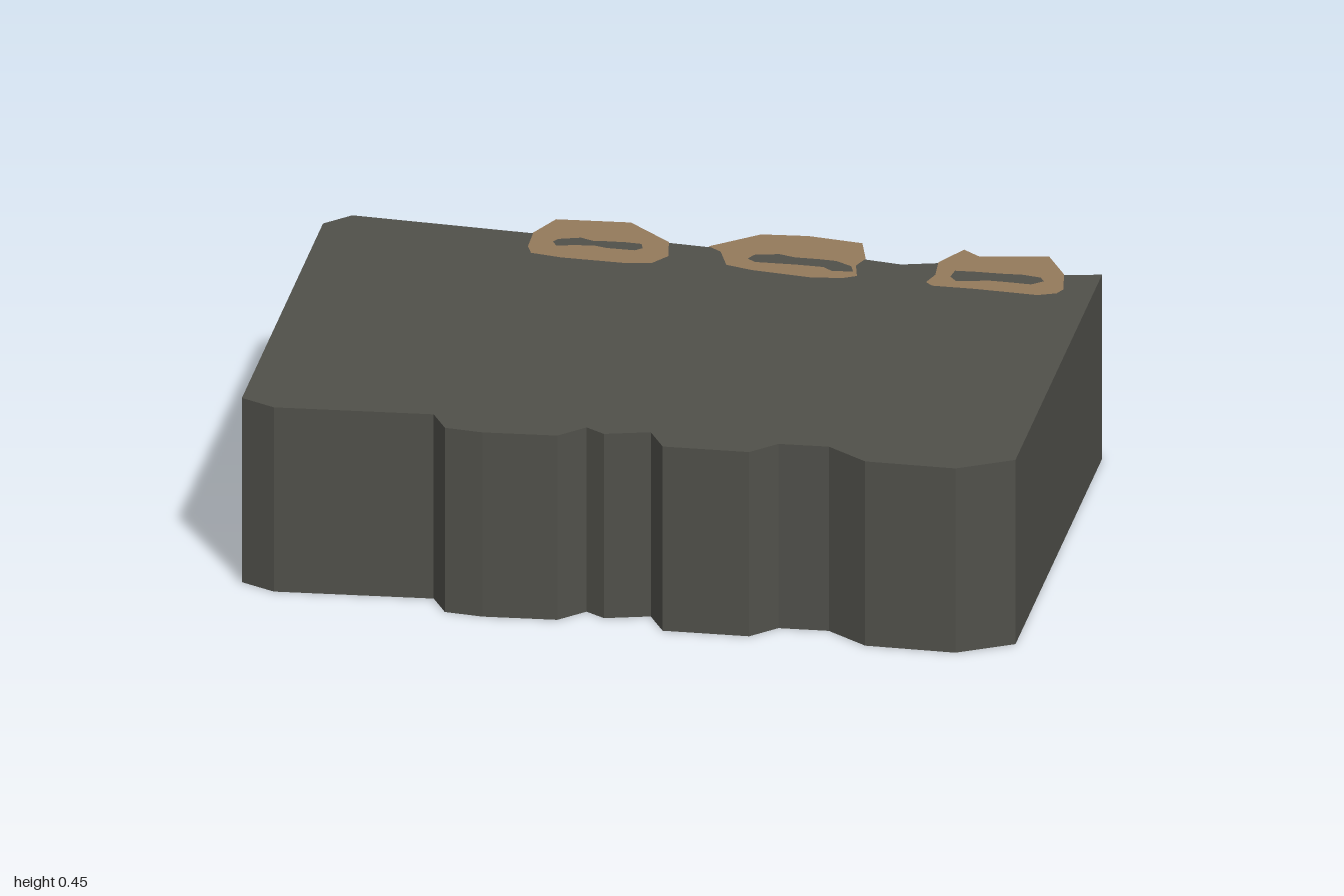
import * as THREE from 'three';

const HEIGHT = 0.445;

// plan outline as [x, z], running from the left corner along the back, then the front
const OUTLINE = [
  [-1, -0.015], [-0.53, -0.83], [-0.455, -0.85], [-0.11, -0.63], [-0.04, -0.68], [0.11, -0.61],
  [0.155, -0.485], [0.23, -0.435], [0.36, -0.457], [0.455, -0.415], [0.555, -0.34], [0.535, -0.26],
  [0.6, -0.21], [0.68, -0.19], [0.755, -0.235], [0.775, -0.19], [0.92, -0.14], [0.92, -0.04],
  [1, -0.015], [0.5, 0.85], [0.36, 0.85], [0.185, 0.75], [0.135, 0.65], [0.035, 0.6],
  [-0.04, 0.62], [-0.21, 0.53], [-0.21, 0.45], [-0.31, 0.425], [-0.335, 0.38], [-0.41, 0.4],
  [-0.56, 0.33], [-0.63, 0.28], [-0.63, 0.205], [-0.95, 0.055],
];

// brown patches on the back bumps, each with a ragged slot
const PATCHES = [
  {
    edge: [[-0.11, -0.63], [-0.04, -0.68], [0.11, -0.61], [0.155, -0.485], [0.13, -0.415],
      [0.085, -0.393], [0.03, -0.41], [-0.095, -0.485], [-0.15, -0.53], [-0.145, -0.565]],
    slot: [[-0.085, -0.57], [-0.07, -0.58], [-0.02, -0.57], [0, -0.545], [0.02, -0.537], [0.065, -0.515],
      [0.095, -0.495], [0.09, -0.473], [0.07, -0.468], [0.015, -0.5], [-0.005, -0.52], [-0.045, -0.537], [-0.085, -0.548]],
  },
  {
    edge: [[0.23, -0.435], [0.36, -0.457], [0.455, -0.415], [0.555, -0.34], [0.535, -0.26], [0.503, -0.233],
      [0.487, -0.18], [0.455, -0.18], [0.39, -0.205], [0.278, -0.286], [0.235, -0.33], [0.246, -0.4]],
    slot: [[0.29, -0.345], [0.31, -0.36], [0.364, -0.345], [0.39, -0.318], [0.438, -0.291], [0.47, -0.27],
      [0.492, -0.233], [0.487, -0.206], [0.444, -0.222], [0.433, -0.249], [0.38, -0.281], [0.3, -0.323]],
  },
  {
    edge: [[0.68, -0.19], [0.755, -0.235], [0.775, -0.19], [0.92, -0.14], [0.92, -0.04], [0.893, 0.035],
      [0.872, 0.05], [0.829, 0.045], [0.711, -0.03], [0.626, -0.078], [0.62, -0.1], [0.652, -0.13]],
    slot: [[0.68, -0.11], [0.7, -0.136], [0.743, -0.115], [0.791, -0.088], [0.834, -0.067], [0.866, -0.04],
      [0.866, -0.019], [0.834, -0.013], [0.791, -0.04], [0.754, -0.062], [0.684, -0.083]],
  },
];

const toPlan = (points) => points.map(([x, z]) => new THREE.Vector2(x, -z));

// horizontal face with optional hole, facing up
function flatFace(edge, y, hole) {
  const shape = new THREE.Shape(toPlan(edge));
  if (hole) shape.holes.push(new THREE.Path(toPlan(hole)));
  return new THREE.ShapeGeometry(shape).rotateX(-Math.PI / 2).translate(0, y, 0);
}

// vertical wall following the outline, open below
function wallGeometry(points, h) {
  const pos = [];
  points.forEach(([ax, az], i) => {
    const [bx, bz] = points[(i + 1) % points.length];
    pos.push(bx, 0, bz, ax, 0, az, ax, h, az, bx, 0, bz, ax, h, az, bx, h, bz);
  });
  const geo = new THREE.BufferGeometry();
  geo.setAttribute('position', new THREE.Float32BufferAttribute(pos, 3));
  geo.computeVertexNormals();
  return geo;
}

export function createModel() {
  const model = new THREE.Group();
  const stone = new THREE.MeshStandardMaterial({ name: 'darkStone', color: 0x50504a, side: THREE.DoubleSide });
  const earth = new THREE.MeshStandardMaterial({ name: 'brownEarth', color: 0x947a5b, side: THREE.DoubleSide });

  const add = (name, geo, mat) => {
    const mesh = new THREE.Mesh(geo, mat);
    mesh.name = name;
    model.add(mesh);
  };

  add('sideWalls', wallGeometry(OUTLINE, HEIGHT), stone);
  add('topFace', flatFace(OUTLINE, HEIGHT), stone);

  // patches lie just above the top, the slots let it show through
  PATCHES.forEach(({ edge, slot }, i) => add(`brownPatch${i + 1}`, flatFace(edge, HEIGHT + 0.002, slot), earth));

  return model;
}
